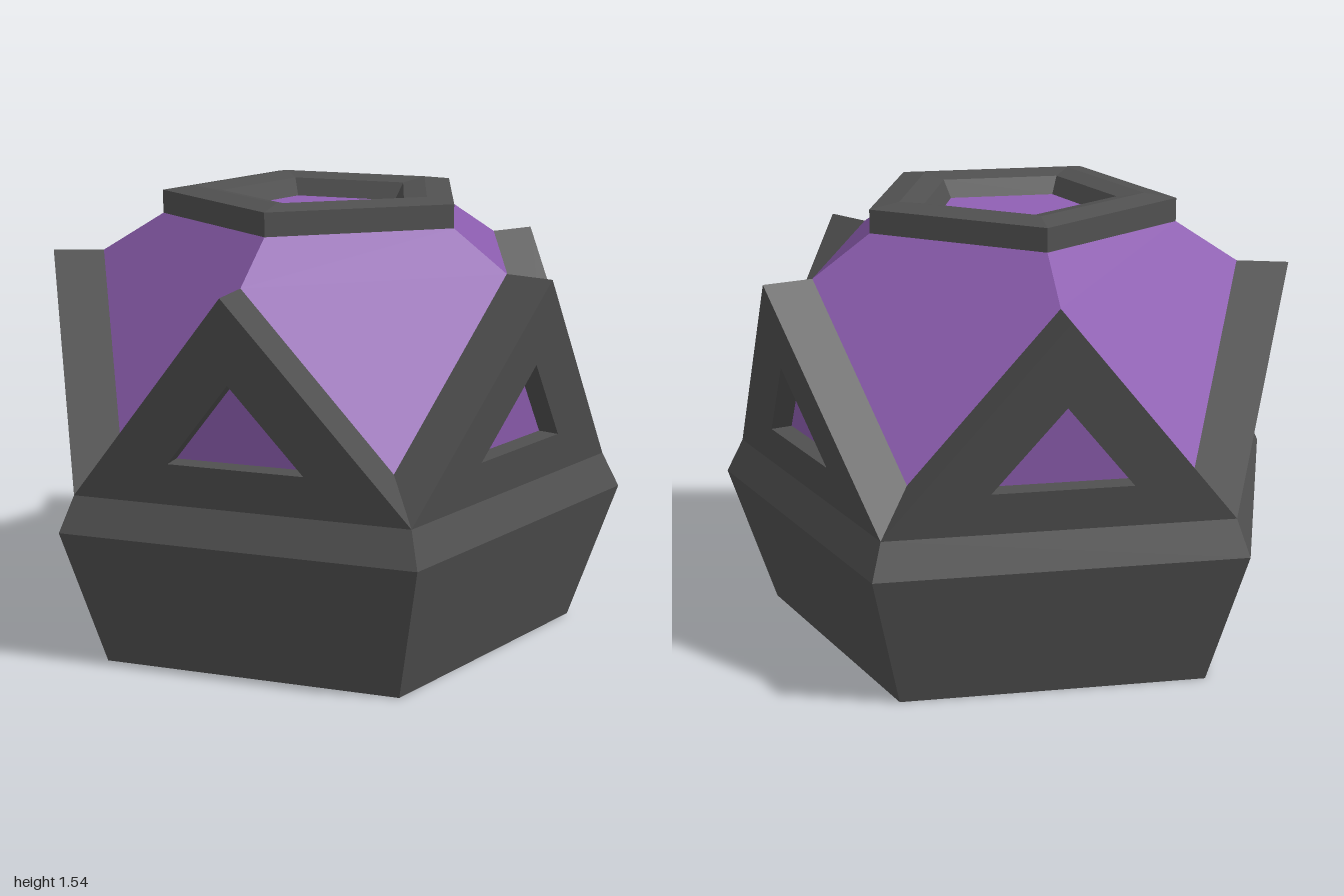
import * as THREE from 'three';

const CX = -0.06; // the pentagon's axis, so that the bounds are centred
const STEP = 72;

// Point from azimuth (degrees), radius and height
function polar(deg, r, y) {
  const a = THREE.MathUtils.degToRad(deg);
  return new THREE.Vector3(r * Math.cos(a), y, r * Math.sin(a));
}

// Flat-shaded polygons; corners are turned so each face looks away from the axis
function facets(polygons, oneNormal) {
  const pos = [];
  const centre = new THREE.Vector3(0, 0.6, 0);
  for (const poly of polygons) {
    for (let i = 1; i < poly.length - 1; i++) {
      const [a, b, c] = [poly[0], poly[i], poly[i + 1]];
      const n = b.clone().sub(a).cross(c.clone().sub(a));
      const out = n.dot(a.clone().sub(centre)) >= 0;
      for (const p of out ? [a, b, c] : [a, c, b]) pos.push(p.x, p.y, p.z);
    }
  }
  const geo = new THREE.BufferGeometry();
  geo.setAttribute('position', new THREE.Float32BufferAttribute(pos, 3));
  geo.computeVertexNormals();
  if (oneNormal) {
    const n = geo.attributes.normal;
    for (let i = 0; i < n.count; i++) n.setXYZ(i, oneNormal.x, oneNormal.y, oneNormal.z);
  }
  return geo;
}

// Five-sided flat-shaded lathe
function pentLathe(profile, start) {
  const pts = profile.map(([r, y]) => new THREE.Vector2(r, y));
  const geo = new THREE.LatheGeometry(pts, 5, start).toNonIndexed();
  geo.computeVertexNormals();
  return geo;
}

export function createModel() {
  const model = new THREE.Group();
  model.name = 'pentagonalDome';
  const grey = new THREE.MeshStandardMaterial({ color: 0x505050, side: THREE.DoubleSide });
  grey.name = 'darkGrey';
  const purple = new THREE.MeshStandardMaterial({ color: 0x9060b4, side: THREE.DoubleSide });
  purple.name = 'purple';

  const body = new THREE.Group();
  body.name = 'body';
  body.position.x = CX;
  model.add(body);
  const add = (name, geo, mat) => {
    const mesh = new THREE.Mesh(geo, mat);
    mesh.name = name;
    body.add(mesh);
  };

  // Open base wall, bulging at the belt
  add('baseWall', pentLathe([[0.88, 0], [1.05, 0.48], [0.99, 0.6]], Math.PI / 2), grey);

  // Ring on top with a sloped crown, and the pane sunk in its middle
  add('topRing', pentLathe([
    [0.31, 1.47], [0.55, 1.45], [0.55, 1.53], [0.44, 1.545], [0.346, 1.53], [0.31, 1.47],
  ], -Math.PI / 2), grey);
  const lid = [0, 1, 2, 3, 4].map((i) => polar(180 + i * STEP, 0.31, 1.47));
  add('topPane', facets([lid]), purple);

  for (let k = 0; k < 5; k++) {
    // Dome panel above each corner of the base
    const az = k * STEP;
    const top = [-36, 36].map((d) => polar(az + d, 0.55, 1.45));
    const side = [-36, 36].map((d) => polar(az + d, 0.76, 1.32));
    const low = polar(az, 0.81, 0.73);
    add('domePanel', facets(
      [[top[0], top[1], side[1], side[0]], [side[0], side[1], low]],
      polar(az, 0.859, 0.512)), purple);

    // Gable frame above each side of the base, with a triangular opening
    const mid = az + 36;
    const apex = polar(mid, 0.935, 1.32);
    const foot = [-36, 36].map((d) => polar(mid + d, 0.99, 0.6));
    const outer = [foot[0], foot[1], apex];
    const heart = foot[0].clone().add(foot[1]).multiplyScalar(0.5).lerp(apex, 0.335);
    const hole = outer.map((p) => heart.clone().lerp(p, 0.4));
    const inward = polar(mid, -0.075, 0);
    const sunk = hole.map((p) => p.clone().add(inward));
    const faces = [];
    const reveals = [];
    for (let i = 0; i < 3; i++) {
      const j = (i + 1) % 3;
      faces.push([outer[i], outer[j], hole[j], hole[i]]);
      reveals.push([hole[i], hole[j], sunk[j], sunk[i]]);
    }
    add('gableFrame', facets(faces), grey);
    add('windowReveal', facets(reveals), grey);
    add('windowPane', facets([sunk]), purple);

    // Sloping strips from the gable edges back to the dome panels
    const crest = polar(mid, 0.76, 1.32);
    const strips = [-36, 36].map((d, i) => [apex, crest, polar(mid + d, 0.81, 0.73), foot[i]]);
    add('gableStrips', facets(strips), grey);
  }
  return model;
}
